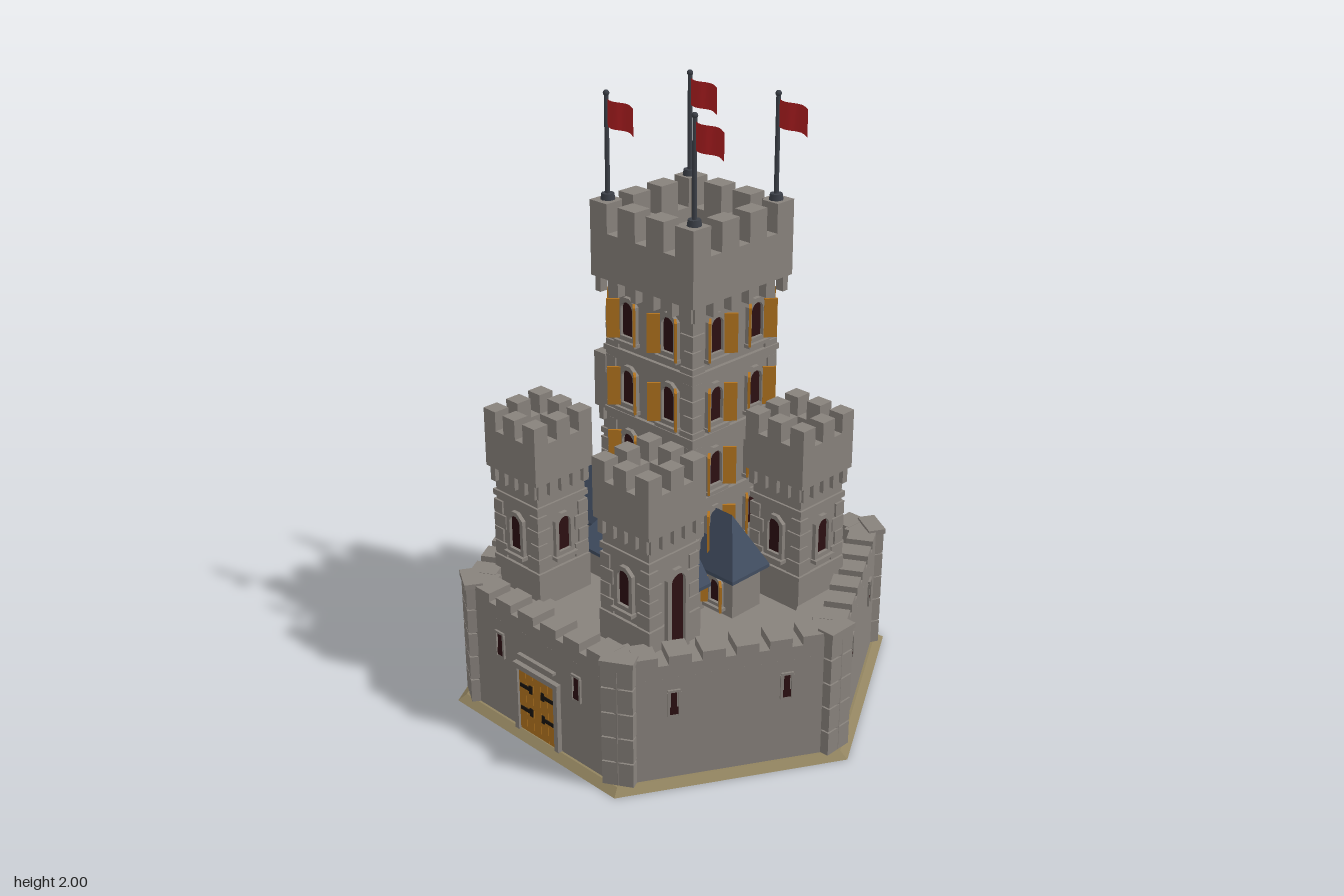
import * as THREE from 'three';
import { ConvexGeometry } from 'three/addons/geometries/ConvexGeometry.js';

const mat = (name, color, side = THREE.FrontSide) => {
  const m = new THREE.MeshStandardMaterial({ color, side });
  m.name = name;
  return m;
};
const stone = mat('stone', 0x88827c);
const sand = mat('sand', 0x91835f);
const slate = mat('slate roof', 0x414d61);
const wood = mat('orange wood', 0xb3741e);
const dark = mat('dark opening', 0x2c1012);
const iron = mat('iron', 0x3c4048);
const strap = mat('black strap', 0x17130f);
const red = mat('red cloth', 0xb51f22, THREE.DoubleSide);

function add(parent, name, geo, m, x = 0, y = 0, z = 0) {
  const mesh = new THREE.Mesh(geo, m);
  mesh.name = name;
  mesh.position.set(x, y, z);
  parent.add(mesh);
  return mesh;
}
// Box given by its centre in x and z and its bottom and top in y
const box = (p, name, m, w, y0, y1, d, x = 0, z = 0) =>
  add(p, name, new THREE.BoxGeometry(w, y1 - y0, d), m, x, (y0 + y1) / 2, z);

function group(parent, name, x = 0, y = 0, z = 0, ry = 0) {
  const g = new THREE.Group();
  g.name = name;
  g.position.set(x, y, z);
  g.rotation.y = ry;
  parent.add(g);
  return g;
}
function flat(geo) {
  const g = geo.toNonIndexed();
  g.computeVertexNormals();
  return g;
}
// Six-sided solid with a flat side facing +z
const hexSolid = (r0, r1, h) => flat(new THREE.CylinderGeometry(r1, r0, h, 6, 1, false, Math.PI / 6));

const hexPoints = (apothem) => Array.from({ length: 6 }, (_, i) => {
  const r = apothem / Math.cos(Math.PI / 6), a = i * Math.PI / 3;
  return new THREE.Vector2(r * Math.cos(a), r * Math.sin(a));
});
function hexRing(p, name, outer, inner, y0, y1) {
  const s = new THREE.Shape(hexPoints(outer));
  s.holes.push(new THREE.Path(hexPoints(inner).reverse()));
  const geo = new THREE.ExtrudeGeometry(s, { depth: y1 - y0, bevelEnabled: false });
  geo.rotateX(-Math.PI / 2);
  add(p, name, geo, stone, 0, y0, 0);
}

// Round-headed outline standing on y = 0
function arch(path, w, h) {
  const r = w / 2;
  path.moveTo(-r, 0);
  path.lineTo(r, 0);
  path.lineTo(r, h - r);
  path.absarc(0, h - r, r, 0, Math.PI, false);
  path.lineTo(-r, 0);
  return path;
}
function archWindow(p, x, y, z, w, h, shutters) {
  const g = group(p, 'window', x, y, z);
  add(g, 'windowOpening', new THREE.ShapeGeometry(arch(new THREE.Shape(), w, h), 6), dark, 0, 0, 0.003);
  const t = w * 0.28;
  const s = new THREE.Shape([[-w / 2 - t, -t], [w / 2 + t, -t], [w / 2 + t, h - t * 0.6], [w / 4, h + t], [-w / 4, h + t], [-w / 2 - t, h - t * 0.6]]
    .map(([a, b]) => new THREE.Vector2(a, b)));
  s.holes.push(arch(new THREE.Path(), w, h));
  add(g, 'windowFrame', new THREE.ExtrudeGeometry(s, { depth: 0.014, bevelEnabled: false, curveSegments: 6 }), stone);
  box(g, 'windowSill', stone, w + 0.04, -t - 0.012, -t, 0.03, 0, 0.01);
  if (!shutters) return;
  for (const side of [-1, 1]) {
    const hinge = group(g, 'shutterHinge', side * (w / 2 + 0.006), 0, 0.012, -side * 0.75);
    box(hinge, 'shutter', wood, 0.042, -0.01, h + 0.004, 0.008, side * 0.021);
  }
}
function fourSides(p, half, build) {
  for (let k = 0; k < 4; k++) build(group(p, 'side', 0, 0, 0, k * Math.PI / 2), half, k);
}

// Overhanging parapet with merlons and corbels
function battlement(p, half, y0, floorY, notchY, top, t, count, merlonW) {
  box(p, 'battlementBase', stone, half * 2, y0, floorY, half * 2);
  fourSides(p, half, (s) => {
    box(s, 'parapet', stone, half * 2, floorY, notchY, t, 0, half - t / 2);
    for (let i = 0; i < count; i++) {
      const x = (i / (count - 1) - 0.5) * (2 * half - merlonW);
      box(s, 'merlon', stone, merlonW, notchY, top, t, x, half - t / 2);
    }
    for (let i = 0; i < count + 2; i++) {
      const x = (i / (count + 1) - 0.5) * (2 * half - 0.05);
      box(s, 'corbel', stone, 0.022, y0 - 0.05, y0, 0.03, x, half - 0.02);
    }
  });
}
function quoins(p, half, y0, y1, step) {
  for (const x of [-1, 1]) for (const z of [-1, 1]) {
    let i = 0;
    for (let y = y0; y + step <= y1; y += step, i++) {
      const w = i % 2 ? 0.04 : 0.055;
      box(p, 'quoin', stone, w, y + 0.004, y + step, w, x * (half - w / 2 + 0.007), z * (half - w / 2 + 0.007));
    }
  }
}

function outerWall(p) {
  add(p, 'groundPlate', hexSolid(0.755, 0.725, 0.02), sand, 0, 0.01, 0);
  add(p, 'wallBody', hexSolid(0.716, 0.716, 0.36), stone, 0, 0.2, 0);
  hexRing(p, 'wallParapet', 0.62, 0.53, 0.38, 0.425);
  hexRing(p, 'wallWalk', 0.53, 0.44, 0.38, 0.4);
  const post = new THREE.Shape([[-0.05, 0.715], [-0.055, 0.65], [0, 0.59], [0.055, 0.65], [0.05, 0.715]]
    .map(([x, z]) => new THREE.Vector2(x, -z)));
  for (let k = 0; k < 6; k++) {
    const side = group(p, 'wallSide', 0, 0, 0, k * Math.PI / 3);
    for (let i = 0; i < 6; i++) box(side, 'wallMerlon', stone, 0.072, 0.425, 0.455, 0.09, (i - 2.5) * 0.106, 0.575);
    // Arrow slits
    for (const x of [-0.18, 0.18]) {
      box(side, 'slit', dark, 0.018, 0.25, 0.33, 0.006, x, 0.621);
      box(side, 'slitFoot', dark, 0.026, 0.25, 0.275, 0.006, x, 0.621);
      for (const e of [-1, 1]) box(side, 'slitJamb', stone, 0.008, 0.245, 0.33, 0.014, x + e * 0.018, 0.62);
      box(side, 'slitHead', stone, 0.04, 0.33, 0.338, 0.014, x, 0.62);
    }
    // Banded corner post
    const corner = group(p, 'cornerPost', 0, 0, 0, k * Math.PI / 3 + Math.PI / 6);
    for (let i = 0; i < 5; i++) {
      const geo = new THREE.ExtrudeGeometry(post, { depth: 0.082, bevelEnabled: false });
      geo.rotateX(-Math.PI / 2);
      add(corner, 'postBlock', geo, stone, 0, 0.02 + i * 0.088, 0);
    }
    box(corner, 'postCore', stone, 0.09, 0.02, 0.45, 0.06, 0, 0.678);
    box(corner, 'postCap', stone, 0.108, 0.446, 0.463, 0.06, 0, 0.69);
  }
  // Gate in the front wall
  const gate = group(p, 'gate', 0, 0, 0.62);
  for (let i = 0; i < 5; i++) box(gate, 'gatePlank', wood, 0.0325, 0.025, 0.25, 0.012, (i - 2) * 0.034, 0.003);
  for (const y of [0.1, 0.185]) for (const x of [-1, 1]) {
    box(gate, 'gateStrap', strap, 0.055, y, y + 0.013, 0.008, x * 0.05, 0.008);
    box(gate, 'gateStrapEnd', strap, 0.014, y - 0.008, y + 0.021, 0.008, x * 0.028, 0.008);
  }
  for (const x of [-1, 1]) box(gate, 'gateJamb', stone, 0.018, 0.02, 0.25, 0.03, x * 0.094, 0.002);
  box(gate, 'gateLintel', stone, 0.21, 0.25, 0.268, 0.03, 0, 0.002);
  box(gate, 'gateHood', stone, 0.17, 0.295, 0.304, 0.024, 0, 0.002);
}

function sideTower(p, x, z, doorSide) {
  const g = group(p, 'sideTower', x, 0, z);
  box(g, 'towerShaft', stone, 0.2, 0.38, 0.83, 0.2);
  box(g, 'towerFoot', stone, 0.22, 0.38, 0.5, 0.22);
  box(g, 'towerBand', stone, 0.215, 0.715, 0.735, 0.215);
  quoins(g, 0.1, 0.5, 0.71, 0.05);
  battlement(g, 0.12, 0.82, 0.9, 0.955, 1.02, 0.055, 3, 0.055);
  fourSides(g, 0.1, (s, h, k) => {
    if (k === doorSide) archWindow(s, 0, 0.42, 0.111, 0.06, 0.25, false);
    else archWindow(s, 0, 0.555, h, 0.05, 0.12, false);
  });
}

function flagpole(p, x, z) {
  const g = group(p, 'flagpole', x, 0, z);
  add(g, 'poleFoot', new THREE.CylinderGeometry(0.02, 0.024, 0.025, 10), iron, 0, 1.667, 0);
  add(g, 'pole', new THREE.CylinderGeometry(0.007, 0.008, 0.46, 8), iron, 0, 1.76, 0);
  add(g, 'poleKnob', new THREE.SphereGeometry(0.01, 8, 6), iron, 0, 1.99, 0);
  const cloth = new THREE.PlaneGeometry(0.12, 0.085, 12, 1);
  const pos = cloth.attributes.position;
  for (let i = 0; i < pos.count; i++) {
    const u = pos.getX(i) + 0.06;
    pos.setZ(i, 0.01 * Math.sin(u * 60));
    pos.setY(i, pos.getY(i) - u * 0.08);
  }
  cloth.computeVertexNormals();
  add(g, 'flag', cloth, red, 0.064, 1.932, 0);
}

function keep(p) {
  const g = group(p, 'keep', 0, 0, -0.065);
  box(g, 'keepShaft', stone, 0.37, 0.38, 1.43, 0.37);
  for (const y of [0.73, 0.95, 1.165]) {
    box(g, 'keepBand', stone, 0.395, y, y + 0.018, 0.395);
    box(g, 'keepBandLower', stone, 0.383, y - 0.02, y, 0.383);
  }
  quoins(g, 0.185, 0.5, 1.36, 0.054);
  battlement(g, 0.222, 1.415, 1.52, 1.565, 1.66, 0.065, 4, 0.075);
  fourSides(g, 0.185, (s, h) => {
    for (const y of [0.58, 0.785, 1.005, 1.235])
      for (const x of [-0.09, 0.09]) archWindow(s, x, y, h, 0.052, 0.115, true);
  });
  for (const x of [-0.185, 0.185]) for (const z of [-0.18, 0.18]) flagpole(g, x, z);
}

// Hipped roof from an eaves rectangle and a ridge [x0, z0, x1, z1]
function roof(p, name, [x0, x1, z0, z1], eave, [a, b, c, d], top) {
  const v = (x, y, z) => new THREE.Vector3(x, y, z);
  const pts = [v(a, top, b), v(c, top, d)];
  for (const x of [x0, x1]) for (const z of [z0, z1]) pts.push(v(x, eave, z), v(x, eave - 0.012, z));
  add(p, name, new ConvexGeometry(pts), slate);
}

function annexes(p) {
  // Back hall
  box(p, 'backHall', stone, 0.64, 0.38, 0.535, 0.15, 0, -0.295);
  roof(p, 'backRoof', [-0.35, 0.35, -0.392, -0.22], 0.53, [-0.25, -0.3, 0.25, -0.3], 0.71);
  const back = group(p, 'backHallFace', 0, 0, -0.37, Math.PI);
  for (let i = 0; i < 4; i++) archWindow(back, (i - 1.5) * 0.15, 0.42, 0, 0.04, 0.08, false);
  // Side wings
  box(p, 'wingLeft', stone, 0.2, 0.38, 0.53, 0.13, 0.24, 0.03);
  roof(p, 'wingLeftRoof', [0.16, 0.356, -0.06, 0.112], 0.525, [0.16, 0.026, 0.27, 0.026], 0.7);
  const left = group(p, 'wingLeftFace', 0.24, 0, 0.095);
  archWindow(left, 0.03, 0.42, 0, 0.04, 0.08, true);
  box(p, 'wingRight', stone, 0.32, 0.38, 0.5, 0.15, -0.3, 0.015);
  roof(p, 'wingRightRoof', [-0.486, -0.16, -0.085, 0.113], 0.49, [-0.4, 0.014, -0.16, 0.014], 0.65);
  // Front porch with a lean-to roof
  box(p, 'porch', stone, 0.46, 0.38, 0.49, 0.1, 0, 0.16);
  roof(p, 'porchRoof', [-0.26, 0.26, 0.11, 0.232], 0.485, [-0.22, 0.12, 0.22, 0.12], 0.56);
}

export function createModel() {
  const model = new THREE.Group();
  model.name = 'castle';
  const castle = group(model, 'castleBody', 0, 0, 0, -Math.PI / 6);
  outerWall(castle);
  keep(castle);
  annexes(castle);
  for (const s of [-1, 1]) {
    sideTower(castle, s * 0.25, 0.372, s > 0 ? 1 : 3);
    sideTower(castle, s * 0.35, -0.195, -1);
  }
  return model;
}
